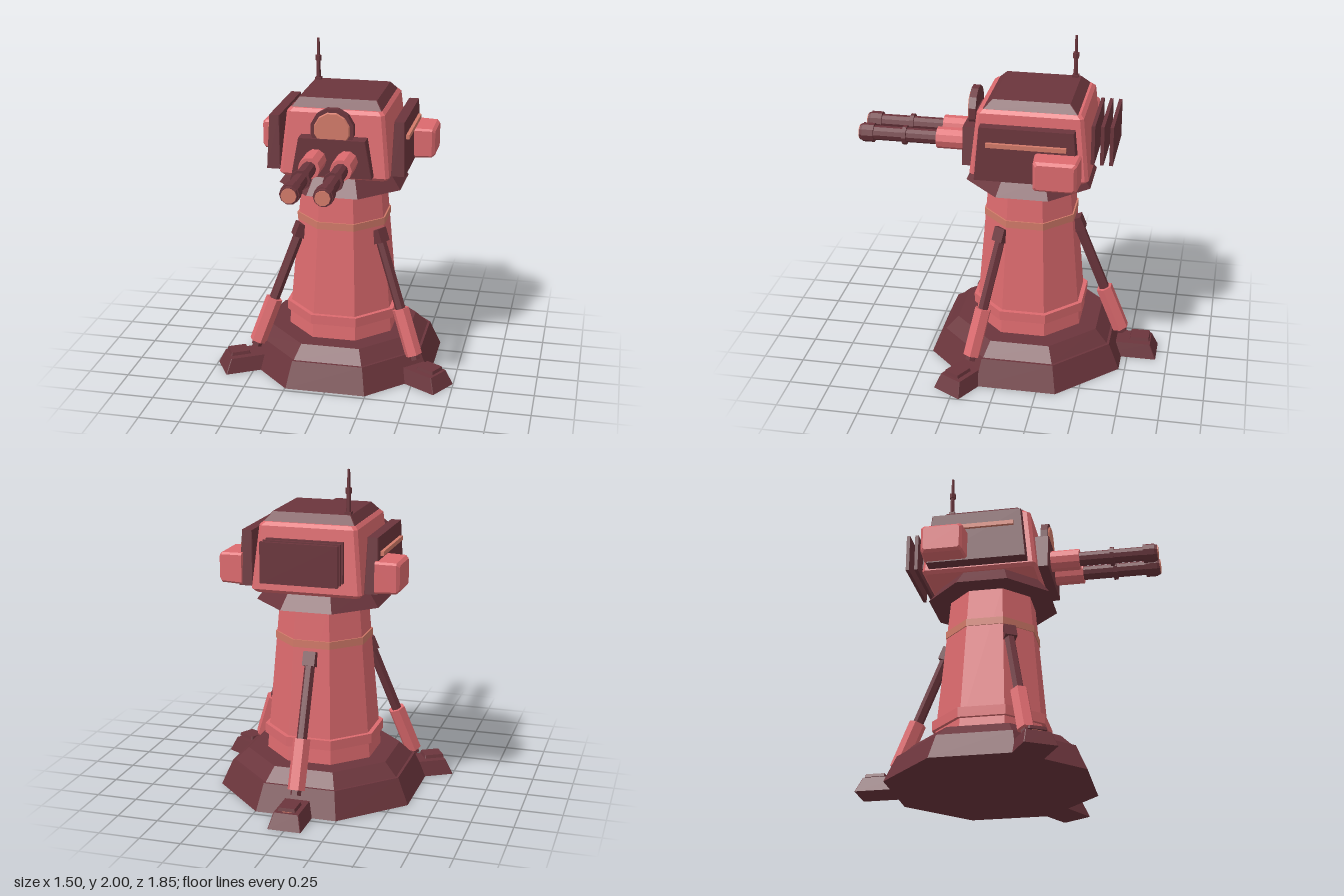
import * as THREE from 'three';

const material = (name, color) => {
  const m = new THREE.MeshStandardMaterial({ color });
  m.name = name;
  return m;
};

// Faceted normals for hard low-poly edges
const flat = (geo) => {
  const g = geo.index ? geo.toNonIndexed() : geo;
  g.computeVertexNormals();
  return g;
};

// Regular prism or cone section; radii are apothems, flats face the axes
function prism(apTop, apBottom, y0, y1, sides = 8) {
  const k = 1 / Math.cos(Math.PI / sides);
  const g = new THREE.CylinderGeometry(apTop * k, apBottom * k, y1 - y0, sides, 1, false, Math.PI / sides);
  return flat(g.translate(0, (y0 + y1) / 2, 0));
}

// Chamfered rectangular cross-sections [y, halfX, halfZ] joined into a closed solid
function loft(sections, c = 0.004) {
  const rings = sections.map(([y, x, z]) => [
    [x - c, y, z], [x, y, z - c], [x, y, c - z], [x - c, y, -z],
    [c - x, y, -z], [-x, y, c - z], [-x, y, z - c], [c - x, y, z],
  ]);
  const pos = [];
  const tri = (...pts) => pts.forEach((p) => pos.push(...p));
  for (let r = 0; r < rings.length - 1; r++) {
    const lo = rings[r], hi = rings[r + 1];
    for (let i = 0; i < 8; i++) {
      const j = (i + 1) % 8;
      tri(lo[i], lo[j], hi[j]);
      tri(lo[i], hi[j], hi[i]);
    }
  }
  const bottom = rings[0], top = rings[rings.length - 1];
  for (let i = 1; i < 7; i++) {
    tri(top[0], top[i], top[i + 1]);
    tri(bottom[0], bottom[i + 1], bottom[i]);
  }
  const g = new THREE.BufferGeometry();
  g.setAttribute('position', new THREE.Float32BufferAttribute(pos, 3));
  return flat(g);
}

export function createModel() {
  const dark = material('dark maroon', 0x6b353c);
  const red = material('red', 0xdc6a6e);
  const orange = material('warm orange', 0xd27a69);
  const model = new THREE.Group();
  model.name = 'gunTower';

  const add = (parent, name, geo, mat, x = 0, y = 0, z = 0) => {
    const m = new THREE.Mesh(geo, mat);
    m.name = name;
    m.position.set(x, y, z);
    parent.add(m);
    return m;
  };
  const group = (parent, name, x = 0, y = 0, z = 0) => {
    const g = new THREE.Group();
    g.name = name;
    g.position.set(x, y, z);
    parent.add(g);
    return g;
  };

  // Octagonal base, column and collar
  const tower = group(model, 'tower', 0, 0, -0.12);
  add(tower, 'baseLower', prism(0.525, 0.592, 0, 0.157), dark);
  add(tower, 'baseUpper', prism(0.435, 0.51, 0.157, 0.235), dark);
  add(tower, 'column', prism(0.247, 0.325, 0.235, 1.19), red);
  add(tower, 'lowerRing', prism(0.338, 0.338, 0.33, 0.39), red);
  add(tower, 'upperRing', prism(0.273, 0.273, 0.935, 0.98), orange);
  add(tower, 'collar', prism(0.3, 0.375, 1.18, 1.285), dark);

  // Three feet with braces, one at the back and two toward the front
  for (const angle of [Math.PI, Math.PI / 3, -Math.PI / 3]) {
    const leg = group(tower, 'leg');
    leg.rotation.y = angle;
    add(leg, 'foot', loft([[0, 0.1, 0.18], [0.09, 0.075, 0.14]]), dark, 0, 0, 0.628);
    add(leg, 'footBolt', new THREE.BoxGeometry(0.06, 0.02, 0.09), orange, 0, 0.098, 0.705);
    add(leg, 'footPad', loft([[0.1, 0.055, 0.062], [0.12, 0.05, 0.057]]), dark, 0, 0, 0.7);

    // Brace runs down its local -y axis from the clamp
    const brace = group(leg, 'brace', 0, 0.9, 0.275);
    brace.rotation.x = -Math.atan2(0.31, 0.77);
    add(brace, 'braceClamp', new THREE.BoxGeometry(0.075, 0.085, 0.075), dark, 0, -0.03, 0);
    add(brace, 'braceRod', prism(0.028, 0.028, -0.83, 0, 6), dark);
    add(brace, 'braceSleeve', prism(0.046, 0.046, -0.8, -0.5, 6), red);
  }

  // Turret head
  const head = group(model, 'head', 0, 0, -0.15);
  add(head, 'headShell', loft([
    [1.28, 0.315, 0.335], [1.3, 0.332, 0.352], [1.67, 0.294, 0.312], [1.69, 0.275, 0.292],
  ], 0.02), red);
  add(head, 'roof', loft([[1.685, 0.277, 0.282], [1.74, 0.235, 0.228]]), dark);

  // Side armour, stripe and pod on both sides
  for (const s of [1, -1]) {
    add(head, 'sideArmour', loft([[1.305, 0.042, 0.305], [1.63, 0.031, 0.275]]), dark, s * 0.378, 0, 0);
    add(head, 'sideStripe', new THREE.BoxGeometry(0.03, 0.026, 0.465), orange, s * 0.417, 1.53, 0);
    const pod = loft([[0.4, 0.093, 0.135], [0.525, 0.09, 0.126], [0.543, 0.075, 0.11]], 0.012);
    add(head, 'sidePod', pod.rotateZ(-s * Math.PI / 2), red, 0, 1.405, -0.185);
  }

  // Cooling fins at the back
  for (let i = 0; i < 3; i++) {
    add(head, 'coolingFin', new THREE.BoxGeometry(0.46, 0.24, 0.021), dark, 0, 1.49, -0.362 - i * 0.054);
  }

  // Antenna
  const antenna = group(model, 'antenna', -0.213, 0, -0.345);
  add(antenna, 'antennaBase', new THREE.BoxGeometry(0.038, 0.02, 0.038), dark, 0, 1.745, 0);
  add(antenna, 'antennaLower', prism(0.011, 0.013, 1.74, 1.87, 6), dark);
  add(antenna, 'antennaJoint', prism(0.017, 0.017, 1.86, 1.893, 6), dark);
  add(antenna, 'antennaTip', prism(0.007, 0.009, 1.89, 2.0, 6), dark);

  // Gun mount and round sensor
  add(model, 'gunMount', loft([[1.312, 0.242, 0.055], [1.54, 0.2, 0.055]]), dark, 0, 0, 0.208);
  const forward = (geo) => geo.rotateX(Math.PI / 2);
  add(model, 'sensorHousing', forward(prism(0.127, 0.127, 0.2, 0.243, 12)), dark, 0, 1.592, 0);
  add(model, 'sensorLens', forward(prism(0.1, 0.106, 0.243, 0.252, 12)), orange, 0, 1.592, 0);
  add(model, 'sensorStem', new THREE.BoxGeometry(0.16, 0.16, 0.1), dark, 0, 1.53, 0.17);

  // Twin barrels: [name, radius front, radius back, z start, z end, material]
  const barrelParts = [
    ['barrelSleeve', 0.062, 0.062, 0.25, 0.44, red],
    ['barrelTube', 0.042, 0.042, 0.44, 0.84, dark],
    ['barrelBand', 0.056, 0.056, 0.628, 0.652, dark],
    ['muzzle', 0.055, 0.055, 0.83, 0.9, dark],
    ['muzzleLip', 0.046, 0.05, 0.9, 0.917, dark],
    ['muzzleFace', 0.042, 0.042, 0.915, 0.922, orange],
  ];
  for (const x of [-0.094, 0.094]) {
    const barrel = group(model, 'barrel', x, 1.415, 0);
    for (const [name, rf, rb, z0, z1, mat] of barrelParts) {
      add(barrel, name, forward(prism(rf, rb, z0, z1, 10)), mat);
    }
  }
  return model;
}
